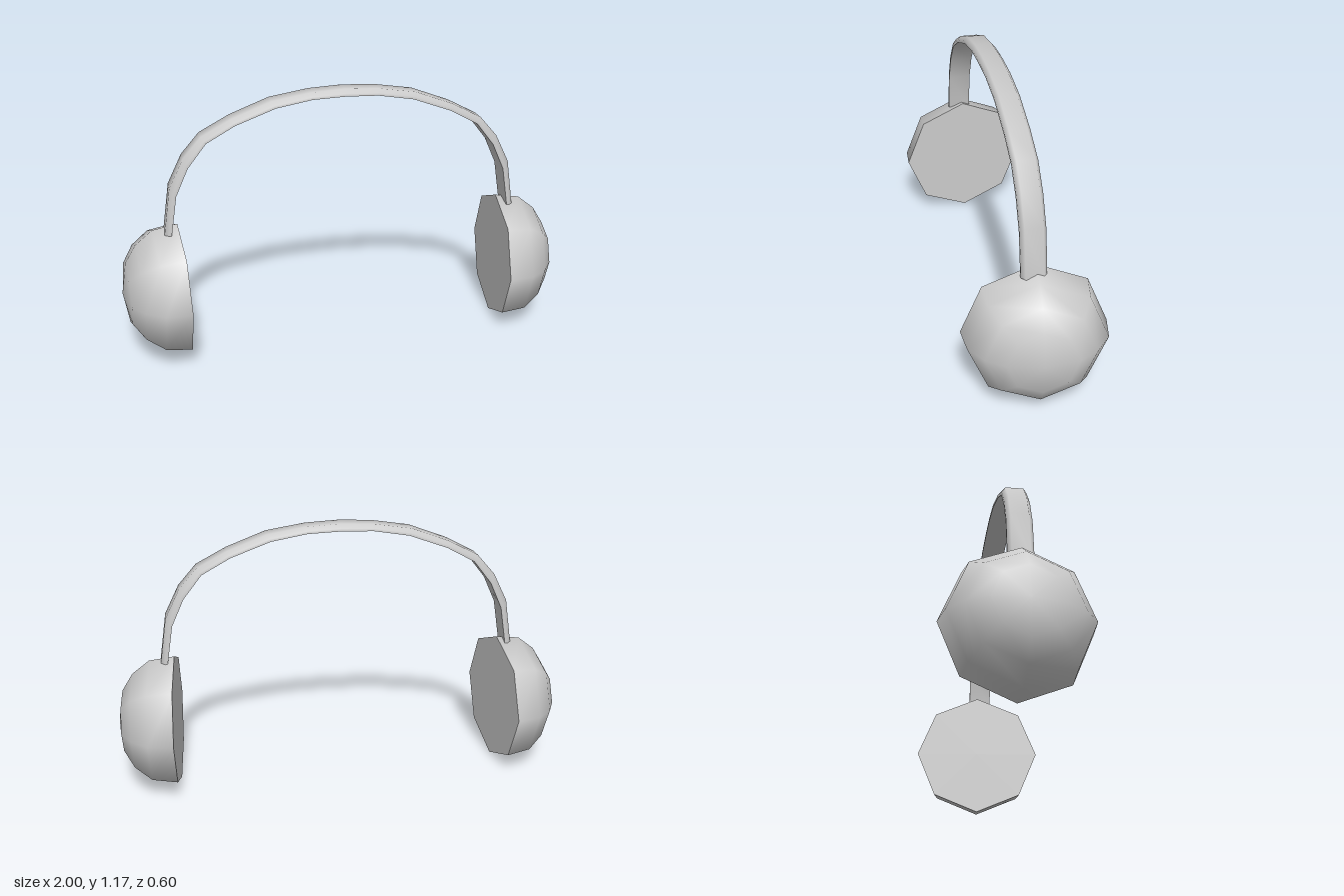
import * as THREE from 'three';
import { toCreasedNormals } from 'three/addons/utils/BufferGeometryUtils.js';

const CREASE = 1.1;
const material = new THREE.MeshStandardMaterial({ color: 0xcccccc });

// Left half of the arch, end to crown: outer x, outer y, inner x, inner y
const halfArch = [
  [0.80, 0.575, 0.77, 0.575],
  [0.767, 0.786, 0.74, 0.755],
  [0.703, 0.914, 0.685, 0.875],
  [0.623, 1.005, 0.603, 0.979],
  [0.49, 1.075, 0.478, 1.048],
  [0.318, 1.14, 0.303, 1.112],
  [0.147, 1.167, 0.145, 1.139],
  [0, 1.174, 0, 1.144],
];

// Band section: z, and share of the way from inner to outer line
const section = [
  [0.068, 0], [0.068, 0.4], [0.053, 1],
  [-0.022, 1], [-0.037, 0.4], [-0.037, 0],
];

function bandGeometry() {
  const stations = [
    ...halfArch.map(([ox, oy, ix, iy]) => [-ox, oy, -ix, iy]),
    ...halfArch.slice(0, -1).reverse(),
  ];
  const n = section.length;
  const positions = [];
  const index = [];
  for (const [ox, oy, ix, iy] of stations) {
    for (const [z, t] of section) {
      positions.push(ix + (ox - ix) * t, iy + (oy - iy) * t, z);
    }
  }
  for (let i = 0; i < stations.length - 1; i++) {
    for (let j = 0; j < n; j++) {
      const k = (j + 1) % n;
      const a = i * n + j, b = a + n, c = (i + 1) * n + k, d = i * n + k;
      index.push(a, b, c, a, c, d);
    }
  }
  // End caps
  const last = (stations.length - 1) * n;
  for (let j = 1; j < n - 1; j++) {
    index.push(0, j, j + 1, last, last + j + 1, last + j);
  }
  const geometry = new THREE.BufferGeometry();
  geometry.setAttribute('position', new THREE.Float32BufferAttribute(positions, 3));
  geometry.setIndex(index);
  return toCreasedNormals(geometry, CREASE);
}

// Eight-sided dome with a flat inner face, axis along +y
function cupGeometry() {
  const profile = [
    [0, 0], [0.3, 0], [0.284, 0.111], [0.224, 0.188], [0.145, 0.237], [0, 0.26],
  ].map(([r, h]) => new THREE.Vector2(r, h));
  return toCreasedNormals(new THREE.LatheGeometry(profile, 8), CREASE);
}

export function createModel() {
  const group = new THREE.Group();
  group.name = 'headphones';

  const band = new THREE.Mesh(bandGeometry(), material);
  band.name = 'headband';
  group.add(band);

  // Ear cups, domes outward and turned slightly toward the front
  for (const side of [1, -1]) {
    const geometry = cupGeometry();
    geometry.rotateZ(-side * Math.PI / 2);
    geometry.rotateY(-side * 0.083);
    const cup = new THREE.Mesh(geometry, material);
    cup.name = side > 0 ? 'leftEarCup' : 'rightEarCup';
    cup.position.set(side * 0.74, 0.302, 0);
    group.add(cup);
  }
  return group;
}
